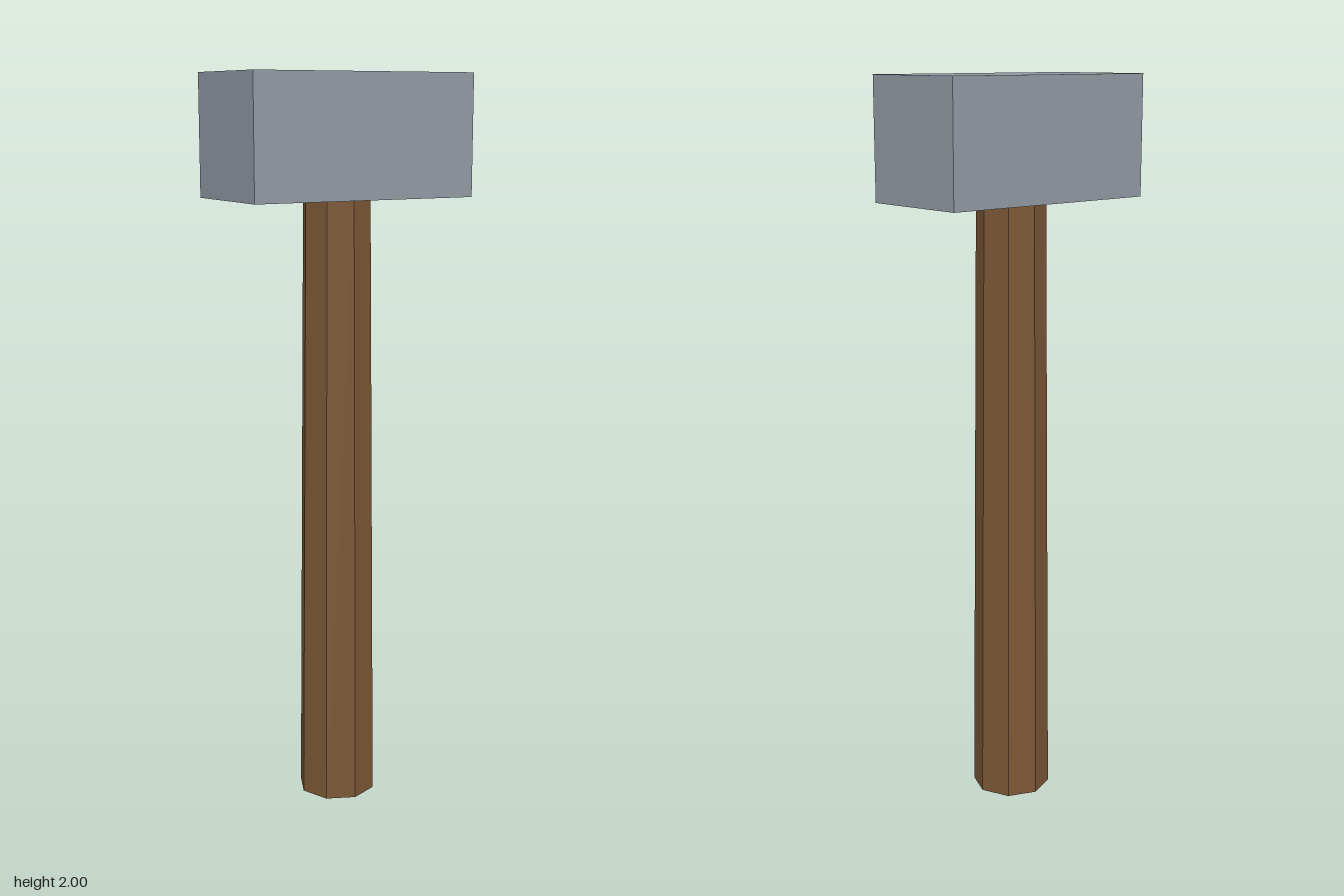
import * as THREE from 'three';

export function createModel() {
  const model = new THREE.Group();
  model.name = 'hammer';

  const steel = new THREE.MeshStandardMaterial({ color: 0x9099a2, flatShading: true });
  steel.name = 'steel grey';
  const wood = new THREE.MeshStandardMaterial({ color: 0x7a5636, flatShading: true, side: THREE.DoubleSide });
  wood.name = 'wood brown';

  const headHeight = 0.322;
  const handleHeight = 2 - headHeight;

  // Block head
  const head = new THREE.Mesh(new THREE.BoxGeometry(0.644, headHeight, 0.322), steel);
  head.name = 'head';
  head.position.y = 2 - headHeight / 2;
  model.add(head);

  // Tapered eight-sided handle, an open tube ending at the head
  const handle = new THREE.Mesh(
    new THREE.CylinderGeometry(0.093, 0.108, handleHeight, 8, 1, true), wood);
  handle.name = 'handle';
  handle.position.y = handleHeight / 2;
  model.add(handle);

  return model;
}
